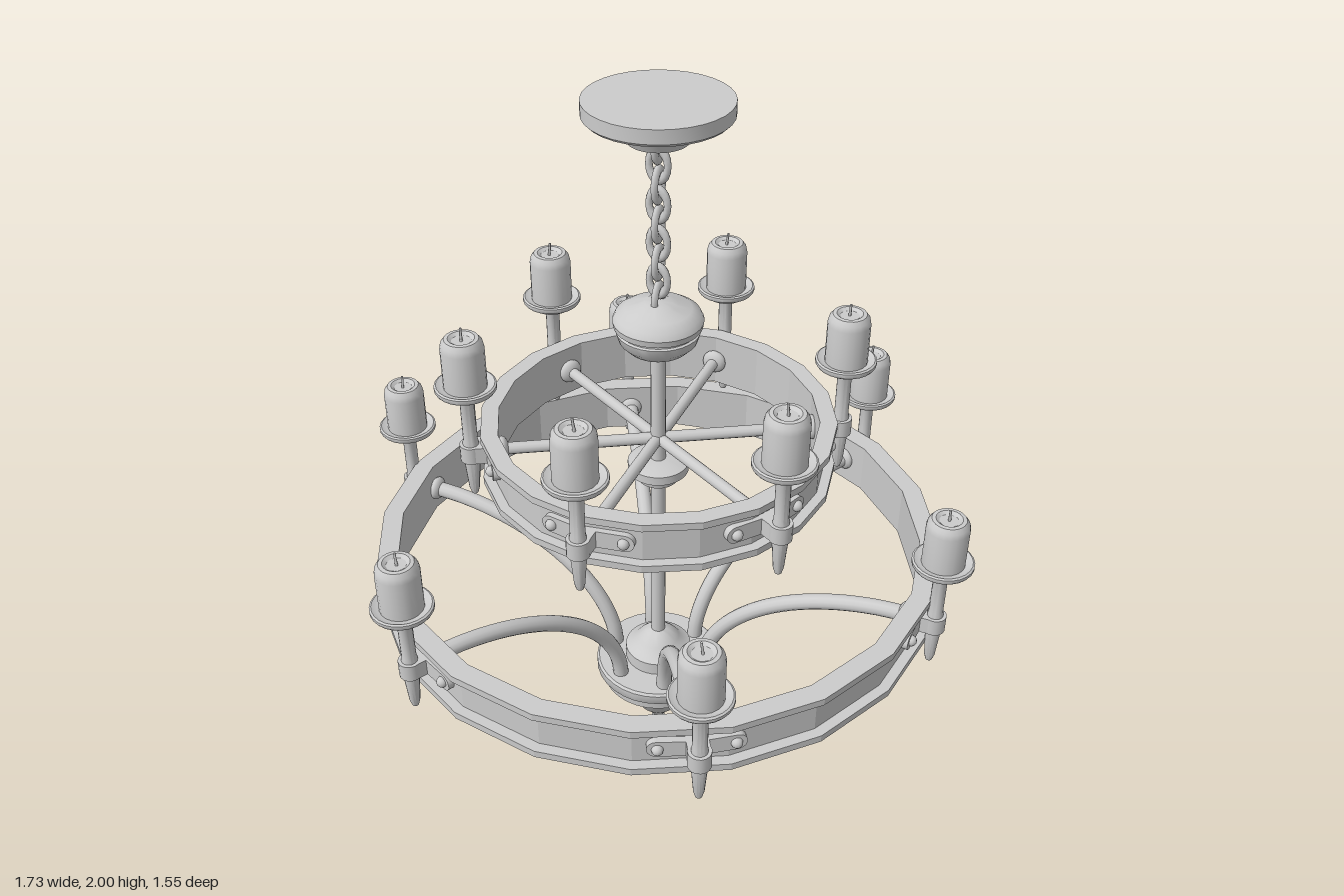
import * as THREE from 'three';
import { toCreasedNormals } from 'three/addons/utils/BufferGeometryUtils.js';

const material = new THREE.MeshStandardMaterial({ color: 0xcccccc });
const flatMaterial = new THREE.MeshStandardMaterial({ color: 0xcccccc, flatShading: true });

function add(parent, name, geometry, x = 0, y = 0, z = 0, mat = material) {
  const mesh = new THREE.Mesh(geometry, mat);
  mesh.name = name;
  mesh.position.set(x, y, z);
  parent.add(mesh);
  return mesh;
}

// Turned part from [radius, height] pairs, listed from bottom to top
function turned(profile, segments = 32) {
  const points = profile.map(([r, y]) => new THREE.Vector2(r, y));
  return toCreasedNormals(new THREE.LatheGeometry(points, segments), 0.6);
}

// Faceted hoop with a lip along its top and bottom edge
function hoop(inner, band, lip, halfHeight) {
  const h = halfHeight, e = halfHeight - 0.02;
  const profile = [[inner, -h], [lip, -h], [lip, -e], [band, -e], [band, e], [lip, e], [lip, h], [inner, h], [inner, -h]];
  return new THREE.LatheGeometry(profile.map(([r, y]) => new THREE.Vector2(r, y)), 20);
}

// Strap plate with a rounded outer end, extruded towards +z
function strapPlate() {
  const s = new THREE.Shape();
  s.moveTo(-0.05, -0.024);
  s.lineTo(0.03, -0.024);
  s.absarc(0.03, 0, 0.024, -Math.PI / 2, Math.PI / 2, false);
  s.lineTo(-0.05, 0.024);
  s.closePath();
  return new THREE.ExtrudeGeometry(s, { depth: 0.018, bevelEnabled: false, curveSegments: 8 });
}

const plateGeometry = strapPlate();
const boltGeometry = new THREE.SphereGeometry(0.015, 12, 8);
const clampGeometry = new THREE.CylinderGeometry(0.03, 0.03, 0.048, 16);
const stemGeometry = turned([[0, -0.137], [0.009, -0.133], [0.014, -0.115], [0.021, -0.03], [0.021, 0.03],
  [0.019, 0.04], [0.019, 0.16], [0.026, 0.18]], 14);
const trayGeometry = turned([[0, 0.178], [0.055, 0.178], [0.06, 0.188], [0.076, 0.192], [0.08, 0.198],
  [0.08, 0.207], [0.075, 0.21], [0.062, 0.203], [0, 0.203]], 24);
const candleGeometry = turned([[0.056, 0.2], [0.056, 0.315], [0.053, 0.33], [0.044, 0.342], [0.034, 0.343],
  [0.025, 0.336], [0, 0.335]], 20);
const wickGeometry = new THREE.CylinderGeometry(0.003, 0.004, 0.036, 6);

// Candle, tray, stem and the strap that bolts them to a hoop
function candleHolder(bandRadius, stemRadius) {
  const holder = new THREE.Group();
  holder.name = 'candleHolder';
  add(holder, 'stem', stemGeometry, 0, 0, stemRadius);
  add(holder, 'tray', trayGeometry, 0, 0, stemRadius);
  add(holder, 'candle', candleGeometry, 0, 0, stemRadius);
  add(holder, 'wick', wickGeometry, 0, 0.352, stemRadius).rotation.z = 0.12;
  add(holder, 'clamp', clampGeometry, 0, 0, stemRadius);
  const reach = stemRadius - bandRadius + 0.01;
  add(holder, 'clampNeck', new THREE.BoxGeometry(0.056, 0.048, reach), 0, 0, stemRadius - reach / 2);
  for (const side of [-1, 1]) {
    const strap = new THREE.Group();
    strap.name = 'strap';
    strap.rotation.y = side * Math.asin(0.068 / bandRadius);
    add(strap, 'strapPlate', plateGeometry, 0, 0, bandRadius - 0.008).rotation.z = side < 0 ? Math.PI : 0;
    add(strap, 'bolt', boltGeometry, side * 0.027, 0, bandRadius + 0.011);
    holder.add(strap);
  }
  return holder;
}

// Hoop with six supports and six candles; spin turns the set of six
function tier(name, height, [inner, band, lip, stem], spin, supportGeometry) {
  const group = new THREE.Group();
  group.name = name;
  group.position.y = height;
  add(group, 'hoop', hoop(inner, band, lip, 0.073), 0, 0, 0, flatMaterial);
  for (let i = 0; i < 6; i++) {
    const sector = new THREE.Group();
    sector.name = 'sector';
    sector.rotation.y = spin + i * Math.PI / 3;
    sector.add(candleHolder(band, stem));
    add(sector, 'support', supportGeometry);
    const washer = add(sector, 'washer', new THREE.SphereGeometry(0.034, 16, 10), 0, 0, inner - 0.01);
    washer.scale.z = 0.55;
    group.add(sector);
  }
  return group;
}

export function createModel() {
  const model = new THREE.Group();
  model.name = 'chandelier';

  // Ceiling plate
  add(model, 'canopy', turned([[0, 1.9], [0.075, 1.9], [0.085, 1.92], [0.115, 1.935], [0.115, 1.955],
    [0.172, 1.957], [0.18, 1.965], [0.18, 2], [0, 2]]));

  // Chain of alternating links
  const linkGeometry = new THREE.TorusGeometry(0.024, 0.0095, 8, 18);
  linkGeometry.scale(1, 1.55, 1);
  for (let i = 0; i < 9; i++) {
    add(model, 'chainLink', linkGeometry, 0, 1.89 - i * 0.051, 0).rotation.y = i % 2 ? 0 : Math.PI / 2;
  }

  // Rounded knob below the chain
  add(model, 'knob', turned([[0, 1.337], [0.05, 1.337], [0.08, 1.347], [0.1, 1.368], [0.108, 1.395], [0.102, 1.398],
    [0.102, 1.405], [0.113, 1.408], [0.116, 1.425], [0.108, 1.442], [0.085, 1.457], [0.05, 1.467], [0.035, 1.475], [0, 1.475]]));

  // Central rod and the collar under the upper spokes
  add(model, 'rod', new THREE.CylinderGeometry(0.02, 0.02, 1.06, 16), 0, 0.83, 0);
  add(model, 'collar', turned([[0, 0.935], [0.055, 0.935], [0.06, 0.96], [0.082, 0.965], [0.082, 0.99], [0.05, 1], [0, 1]]));

  // Upper tier on straight spokes
  const spoke = new THREE.CylinderGeometry(0.016, 0.016, 0.425, 12);
  spoke.rotateX(Math.PI / 2);
  spoke.translate(0, 0, 0.2125);
  model.add(tier('upperTier', 1.063, [0.422, 0.442, 0.468, 0.492], 0, spoke));

  // Lower tier on arms that sweep up from the bowl as quarter ellipses
  const armPoints = [];
  for (let i = 0; i <= 10; i++) {
    const t = i / 10 * Math.PI / 2;
    armPoints.push(new THREE.Vector3(0, -0.42 + 0.42 * Math.sin(t), 0.72 - 0.585 * Math.cos(t)));
  }
  const arm = new THREE.TubeGeometry(new THREE.CatmullRomCurve3(armPoints), 28, 0.022, 12);
  model.add(tier('lowerTier', 0.688, [0.718, 0.745, 0.773, 0.787], Math.PI / 6, arm));

  // Bowl with drooping point, and the small cone on top of it
  add(model, 'bowl', turned([[0, 0.2], [0.125, 0.215], [0.163, 0.216], [0.165, 0.245], [0.178, 0.25],
    [0.181, 0.255], [0.181, 0.28], [0.175, 0.287], [0, 0.287]]));
  add(model, 'bowlTip', turned([[0.012, 0.03], [0.022, 0.045], [0.032, 0.06], [0.058, 0.09], [0.085, 0.135],
    [0.108, 0.175], [0.122, 0.2], [0.126, 0.218]]));
  add(model, 'bowlCone', turned([[0.095, 0.285], [0.095, 0.325], [0.075, 0.335], [0.06, 0.355], [0.035, 0.38], [0.02, 0.387]]));
  add(model, 'finial', new THREE.SphereGeometry(0.02, 16, 12), 0, 0.02, 0);

  return model;
}
